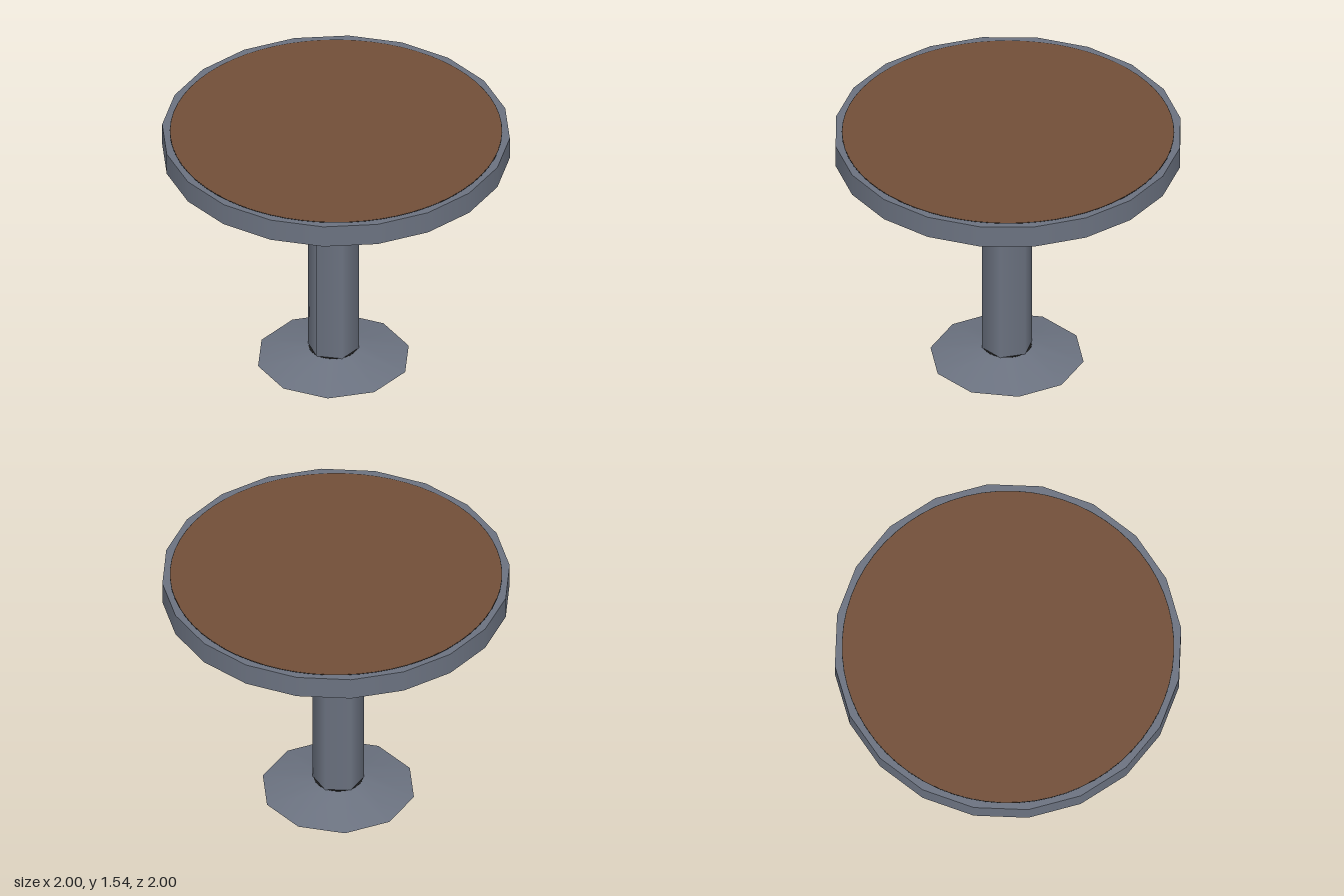
import * as THREE from 'three';

const grey = new THREE.MeshStandardMaterial({ color: 0x6b7280 });
grey.name = 'greyMetal';
const brown = new THREE.MeshStandardMaterial({ color: 0x724e38 });
brown.name = 'brownWood';
const black = new THREE.MeshStandardMaterial({ color: 0x1a1a1a });
black.name = 'blackGap';

// upright prism or cone between two heights, with a corner on the x axis
function drum(name, material, rTop, rBottom, y0, y1, sides) {
  const geometry = new THREE.CylinderGeometry(rTop, rBottom, y1 - y0, sides, 1, false, Math.PI / 2);
  geometry.translate(0, (y0 + y1) / 2, 0);
  const mesh = new THREE.Mesh(geometry, material);
  mesh.name = name;
  return mesh;
}

export function createModel() {
  const table = new THREE.Group();
  table.name = 'roundTable';

  // round top: faceted metal rim, wooden disc on both faces, thin dark seam
  const y0 = 1.405, y1 = 1.54;
  const top = new THREE.Group();
  top.name = 'tableTop';
  top.add(
    drum('rim', grey, 1, 1, y0, y1, 20),
    drum('seam', black, 0.954, 0.954, y0 - 0.001, y1 + 0.001, 64),
    drum('woodenDisc', brown, 0.95, 0.95, y0 - 0.002, y1 + 0.002, 64)
  );

  // pedestal: six-sided column on a ten-sided sloping foot, slightly off centre
  const pedestal = new THREE.Group();
  pedestal.name = 'pedestal';
  pedestal.position.set(-0.015, 0, -0.007);
  pedestal.add(
    drum('column', grey, 0.148, 0.148, 0.072, y0, 6),
    drum('foot', grey, 0.15, 0.445, 0.001, 0.073, 10),
    drum('footCore', black, 0.142, 0.142, 0, 0.074, 32)
  );

  table.add(top, pedestal);
  return table;
}
